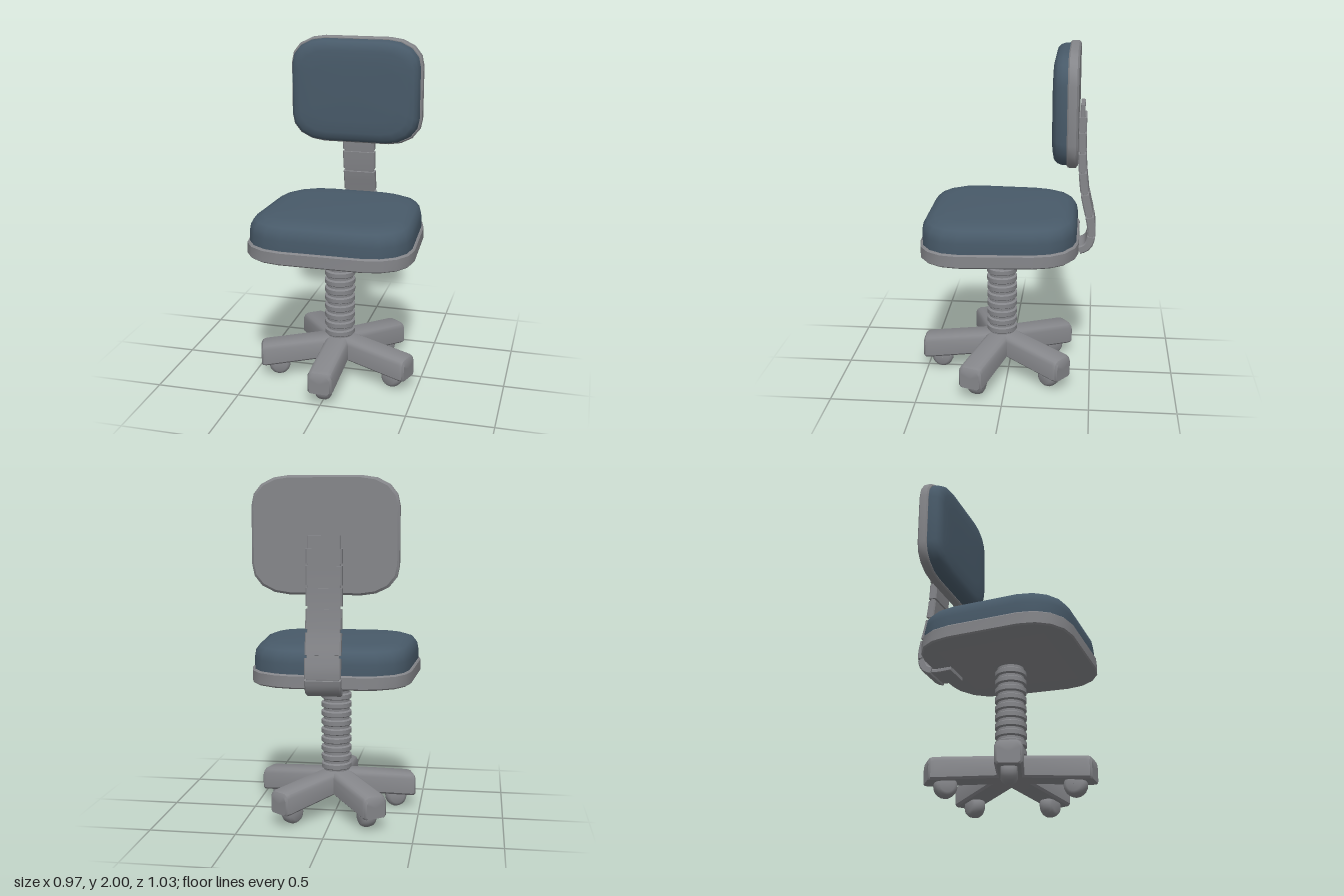
import * as THREE from 'three';
import { toCreasedNormals } from 'three/addons/utils/BufferGeometryUtils.js';

const V = (x, y, z) => new THREE.Vector3(x, y, z);

// Skin a list of rings (each counter-clockwise about the loft direction), with end caps
function loft(rings, crease = 0.6) {
  const n = rings[0].length, pos = [], idx = [];
  rings.forEach((r) => r.forEach((p) => pos.push(p.x, p.y, p.z)));
  for (let k = 0; k < rings.length - 1; k++) {
    for (let i = 0; i < n; i++) {
      const a = k * n + i, b = k * n + (i + 1) % n;
      idx.push(a, b, b + n, a, b + n, a + n);
    }
  }
  [0, rings.length - 1].forEach((k) => {
    const c = V(0, 0, 0);
    rings[k].forEach((p) => c.addScaledVector(p, 1 / n));
    const ci = pos.length / 3;
    pos.push(c.x, c.y, c.z);
    for (let i = 0; i < n; i++) {
      const a = k * n + i, b = k * n + (i + 1) % n;
      if (k === 0) idx.push(ci, b, a); else idx.push(ci, a, b);
    }
  });
  const g = new THREE.BufferGeometry();
  g.setAttribute('position', new THREE.Float32BufferAttribute(pos, 3));
  g.setIndex(idx);
  return toCreasedNormals(g, crease);
}

// Rectangle section with chamfered corners, counter-clockwise in (u, v)
const chamferRect = (w, h, c) => [
  [w, -h + c], [w, h - c], [w - c, h], [-w + c, h],
  [-w, h - c], [-w, -h + c], [-w + c, -h], [w - c, -h]];

export function createModel() {
  const group = new THREE.Group();
  const grey = new THREE.MeshStandardMaterial({ color: 0x85868a });
  grey.name = 'grey plastic';
  const blue = new THREE.MeshStandardMaterial({ color: 0x485a69 });
  blue.name = 'blue fabric';
  const add = (name, geo, mat, parent = group) => {
    const m = new THREE.Mesh(geo, mat);
    m.name = name;
    parent.add(m);
    return m;
  };
  const hubZ = 0.04;

  // Seat outline, front to back on the left side, then mirrored
  const half = [[0.24, 0.49], [0.34, 0.47], [0.42, 0.42], [0.47, 0.345], [0.487, 0.25],
    [0.463, -0.17], [0.437, -0.27], [0.385, -0.345], [0.29, -0.4], [0.2, -0.418]];
  const seatOutline = [...half, ...half.map(([x, z]) => [-x, z]).reverse()];
  const seatRing = ([inset, y]) => {
    const s = 1 - inset / 0.46;
    return seatOutline.map(([x, z]) => V(x * s, y, 0.036 + (z - 0.036) * s));
  };
  add('seatRim', loft([[0.008, 0.83], [0, 0.838], [0, 0.902], [0.008, 0.91]].map(seatRing)), grey);
  add('seatCushion', loft([[0.013, 0.905], [0.013, 0.97], [0.02, 1.01], [0.04, 1.038],
    [0.08, 1.054], [0.14, 1.061], [0.25, 1.065]].map(seatRing), 1), blue);

  // Shallow tapered pan under the seat
  const panRing = (s, y) => [[-0.35, 0.36], [0.35, 0.36], [0.31, -0.3], [-0.31, -0.3]]
    .map(([x, z]) => V(x * s, y, hubZ + (z - hubZ) * s));
  add('seatPan', loft([panRing(0.25, 0.798), panRing(1, 0.831)], 0.05), grey);

  // Backrest outline from one quarter
  const q = [[0.405, 0.16], [0.392, 0.222], [0.35, 0.275], [0.28, 0.31], [0.2, 0.322]];
  const top = [...q, ...q.map(([x, y]) => [-x, y]).reverse()];
  const backOutline = [...top, ...top.map(([x, y]) => [-x, -y])];
  const backRing = ([inset, z]) => backOutline.map(([x, y]) =>
    V(x * (1 - inset / 0.405), 1.678 + y * (1 - inset / 0.322), z));
  add('backrestRim', loft([[0.012, -0.404], [0, -0.394], [0, -0.352], [0.008, -0.344]].map(backRing)), grey);
  add('backrestCushion', loft([[0.012, -0.348], [0.014, -0.315], [0.022, -0.29], [0.04, -0.272],
    [0.075, -0.264], [0.15, -0.26]].map(backRing), 1), blue);

  // Curved strap from under the seat up to the backrest
  const spine = new THREE.CatmullRomCurve3([
    [0.82, -0.3], [0.82, -0.42], [0.845, -0.468], [0.9, -0.488], [0.95, -0.489], [1.02, -0.477],
    [1.15, -0.448], [1.3, -0.431], [1.45, -0.425], [1.68, -0.425]].map(([y, z]) => V(0, y, z)));
  const strap = (u0, u1, w, h, c, steps) => {
    const rings = [];
    for (let i = 0; i <= steps; i++) {
      const u = u0 + (u1 - u0) * i / steps;
      const p = spine.getPointAt(u), t = spine.getTangentAt(u);
      const nrm = t.clone().cross(V(1, 0, 0));
      rings.push(chamferRect(w, h, c).map(([a, b]) => p.clone().addScaledVector(nrm, b).add(V(a, 0, 0))));
    }
    return loft(rings);
  };
  add('backSupportStrap', strap(0, 1, 0.09, 0.0125, 0.004, 40), grey);
  [[0.12, 0.23], [0.24, 0.347], [0.362, 0.483], [0.503, 0.61], [0.625, 0.722], [0.737, 0.84], [0.853, 0.93]]
    .forEach(([a, b], i) => add('supportSleeve' + (i + 1), strap(a, b, 0.1, 0.024, 0.007, 5), grey));

  // Ribbed bellows column
  const profile = [[0.001, 0.2], [0.078, 0.2], [0.078, 0.262]];
  const ribs = 10, pitch = 0.0535;
  for (let i = 0; i < ribs; i++) {
    const y = 0.262 + i * pitch;
    profile.push([0.083, y], [0.091, y + 0.006], [0.091, y + 0.031], [0.083, y + 0.037],
      [0.078, y + 0.038], [0.078, y + pitch - 0.001]);
  }
  profile.push([0.078, 0.81], [0.001, 0.81]);
  const column = add('bellowsColumn', toCreasedNormals(
    new THREE.LatheGeometry(profile.map(([r, y]) => new THREE.Vector2(r, y)), 24), 0.6), grey);
  column.position.z = hubZ;

  // Five-legged base with casters
  const legRing = ([r, w, b, t, c]) => [[w, b + 0.012], [w, t - c], [w - c * 0.35, t - c * 0.35], [w - c, t],
    [c - w, t], [c * 0.35 - w, t - c * 0.35], [-w, t - c], [-w, b + 0.012], [0.012 - w, b], [w - 0.012, b]]
    .map(([x, y]) => V(x, y, r));
  const legGeo = loft([[0, 0.075, 0.13, 0.26, 0.03], [0.45, 0.075, 0.078, 0.212, 0.03],
    [0.47, 0.071, 0.077, 0.205, 0.03], [0.48, 0.06, 0.08, 0.19, 0.025]].map(legRing));
  const wheelGeo = toCreasedNormals(new THREE.LatheGeometry(
    [[0.001, -0.044], [0.04, -0.044], [0.054, -0.036], [0.063, -0.02], [0.065, 0],
      [0.063, 0.02], [0.054, 0.036], [0.04, 0.044], [0.001, 0.044]]
      .map(([r, y]) => new THREE.Vector2(r, y)), 20), 0.7);
  wheelGeo.rotateZ(Math.PI / 2);
  for (let i = 0; i < 5; i++) {
    const arm = new THREE.Group();
    arm.name = 'baseArm' + (i + 1);
    arm.position.z = hubZ;
    arm.rotation.y = i * Math.PI * 2 / 5;
    add('leg', legGeo, grey, arm);
    add('casterWheel', wheelGeo, grey, arm).position.set(0, 0.065, 0.37);
    group.add(arm);
  }
  return group;
}
